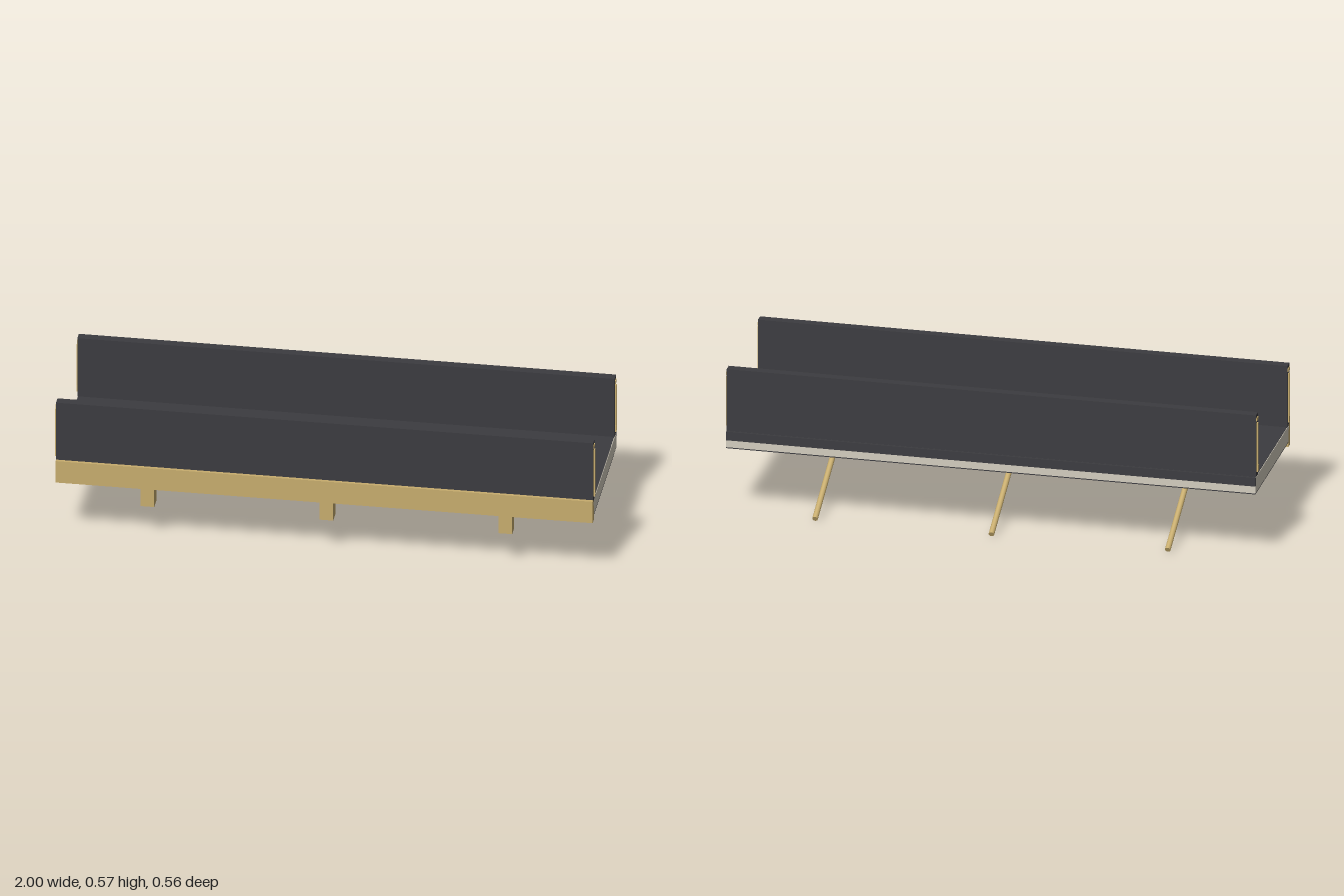
import * as THREE from 'three';

const dark = new THREE.MeshStandardMaterial({ color: 0x3c3c40 });
const gold = new THREE.MeshStandardMaterial({ color: 0xc8ad6e });
const stone = new THREE.MeshStandardMaterial({ color: 0xd4cebf });

export function createModel() {
  const model = new THREE.Group();

  // box given by its limits on each axis
  const box = (name, material, [x0, x1], [y0, y1], [z0, z1]) => {
    const mesh = new THREE.Mesh(new THREE.BoxGeometry(x1 - x0, y1 - y0, z1 - z0), material);
    mesh.position.set((x0 + x1) / 2, (y0 + y1) / 2, (z0 + z1) / 2);
    mesh.name = name;
    model.add(mesh);
    return mesh;
  };

  // deck: stone core between dark facings
  const L = 0.995;
  box('deckCore', stone, [-L, L], [0.267, 0.313], [-0.275, 0.273]);
  box('deckUpperCore', stone, [-L, L], [0.313, 0.329], [-0.27, 0.268]);
  box('deckTop', dark, [-L + 0.002, L - 0.002], [0.326, 0.331], [-0.269, 0.267]);
  box('deckUnderside', dark, [-L, L], [0.265, 0.268], [-0.277, 0.273]);
  box('deckBackLip', dark, [-L, L], [0.296, 0.33], [-0.277, -0.27]);

  // front trim rail
  box('frontTrim', gold, [-L, L], [0.247, 0.336], [0.25, 0.278]);

  // side walls with inlaid gold ends
  for (const z of [0.249, -0.251]) {
    box('wall', dark, [-L, L], [0.33, 0.573], [z - 0.017, z + 0.017]);
    for (const side of [-1, 1]) {
      const ends = side < 0 ? [-1, -0.99] : [0.99, 1];
      box('wallEndStrip', gold, ends, [0.37, 0.54], [z - 0.005, z + 0.005]);
      box('wallEndCap', gold, ends.map(x => x * 0.998), [0.548, 0.56], [z - 0.012, z + 0.012]);
      const foot = box('wallEndFoot', gold, ends, [0.347, 0.372], [z - 0.009, z + 0.009]);
      // taper the foot upward
      const p = foot.geometry.attributes.position;
      for (let i = 0; i < p.count; i++) if (p.getY(i) > 0) p.setZ(i, p.getZ(i) * 0.8);
      foot.geometry.computeVertexNormals();
    }
  }

  // hanging brackets, each with a sloping rod
  const top = new THREE.Vector3(0, 0.232, 0.185);
  const bottom = new THREE.Vector3(0, 0.0125, -0.266);
  const direction = bottom.clone().sub(top);
  for (const x of [-0.663, 0, 0.663]) {
    box('bracket', gold, [x - 0.025, x + 0.025], [0.145, 0.266], [0.174, 0.222]);
    const rod = new THREE.Mesh(new THREE.CylinderGeometry(0.0105, 0.0105, direction.length(), 20), gold);
    rod.name = 'braceRod';
    rod.position.copy(top).add(bottom).multiplyScalar(0.5).setX(x);
    rod.quaternion.setFromUnitVectors(new THREE.Vector3(0, 1, 0), direction.clone().normalize());
    model.add(rod);
  }

  return model;
}
